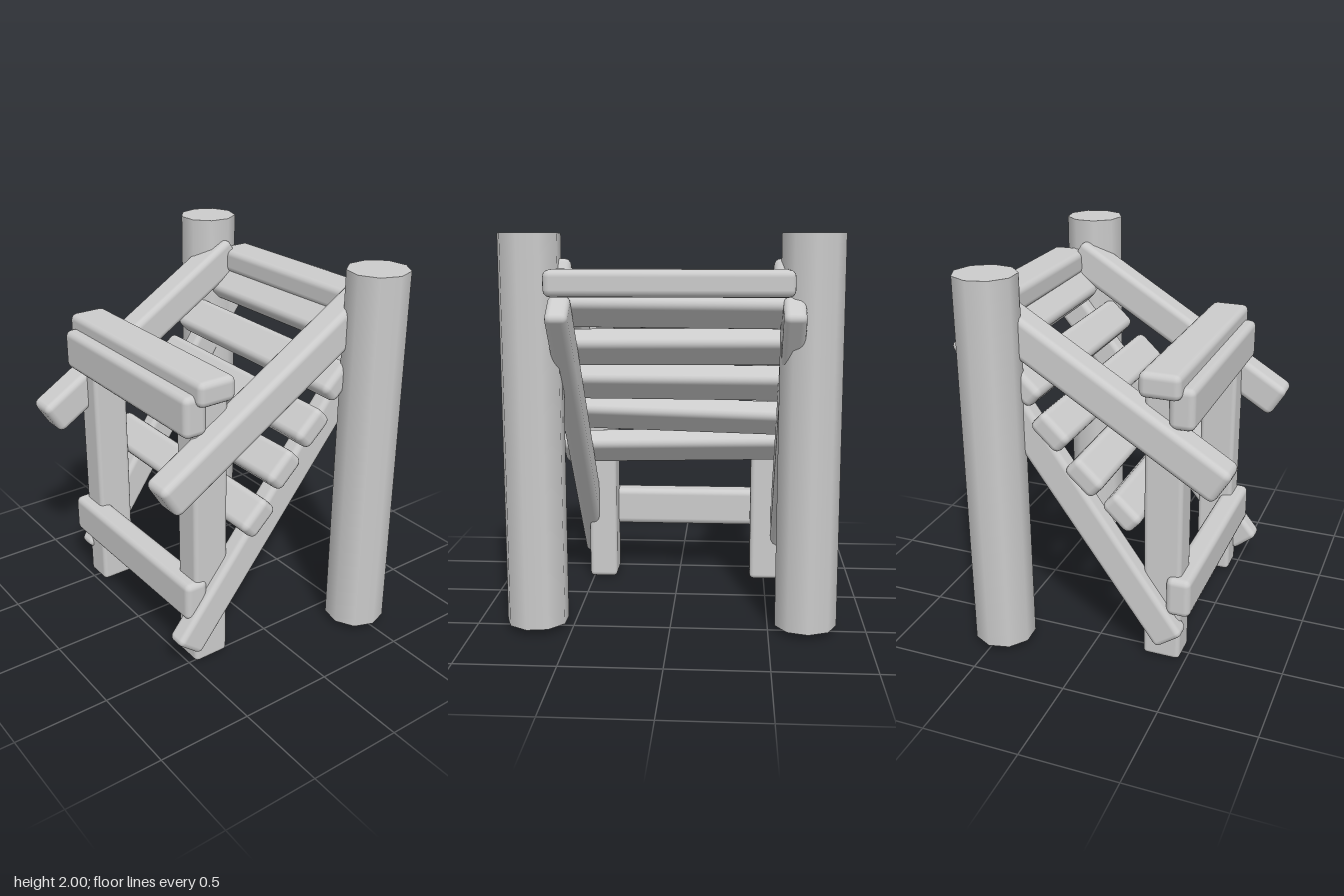
import * as THREE from 'three';
import { RoundedBoxGeometry } from 'three/addons/geometries/RoundedBoxGeometry.js';

export function createModel() {
  const model = new THREE.Group();
  const wood = new THREE.MeshStandardMaterial({ color: 0xcccccc });

  // Softly bevelled timber; w, h, d are its sizes along x, y, z
  function timber(name, [w, h, d], [x, y, z], [rx, ry, rz] = [0, 0, 0], bevel = 0.035) {
    const mesh = new THREE.Mesh(new RoundedBoxGeometry(w, h, d, 2, bevel), wood);
    mesh.name = name;
    mesh.position.set(x, y, z);
    mesh.rotation.set(rx, ry, rz);
    model.add(mesh);
    return mesh;
  }

  // Timber running between two points
  function beam(name, width, height, from, to, bevel) {
    const a = new THREE.Vector3(...from), b = new THREE.Vector3(...to);
    const mid = a.clone().add(b).multiplyScalar(0.5);
    timber(name, [width, height, a.distanceTo(b)], mid.toArray(), [0, 0, 0], bevel).lookAt(b);
  }

  // Tall round back posts
  for (const [name, x, z, turn] of [['leftPost', 0.685, -0.495, 0.15], ['rightPost', -0.69, -0.475, 0.4]]) {
    const post = new THREE.Mesh(new THREE.CylinderGeometry(0.157, 0.16, 1.97, 9), wood);
    post.name = name;
    post.position.set(x, 1.015, z);
    post.rotation.y = turn;
    model.add(post);
  }

  // Square front legs
  timber('leftFrontLeg', [0.16, 1.52, 0.2], [0.445, 0.76, 0.37], undefined, 0.025);
  timber('rightFrontLeg', [0.165, 1.52, 0.2], [-0.5, 0.76, 0.37], undefined, 0.025);

  // Front rails
  timber('topRail', [1.24, 0.13, 0.21], [-0.04, 1.535, 0.367]);
  timber('upperFrontBoard', [1.16, 0.215, 0.13], [-0.04, 1.42, 0.465]);
  timber('lowerFrontBoard', [1.16, 0.215, 0.13], [-0.04, 0.395, 0.465]);

  // Sloping side rails
  beam('leftSideRail', 0.16, 0.19, [0.56, 1.06, 0.685], [0.56, 1.81, -0.545]);
  beam('rightSideRail', 0.165, 0.19, [-0.583, 1.06, 0.685], [-0.583, 1.81, -0.545]);

  // Steep stringers under the treads
  beam('leftStringer', 0.11, 0.175, [0.52, 0.14, 0.54], [0.52, 1.66, -0.695], 0.03);
  beam('rightStringer', 0.11, 0.175, [-0.59, 0.14, 0.43], [-0.6, 1.66, -0.645], 0.03);

  // Tilted treads, each slightly crooked
  const treads = [
    [1.29, -0.005, -0.025, 0], [1.33, -0.015, 0.025, 0.01],
    [1.35, -0.015, 0.01, -0.01], [1.3, -0.015, -0.01, 0], [1.1, -0.03, 0, 0.01],
  ];
  treads.forEach(([length, x, roll, yaw], i) => {
    timber('tread' + (i + 1), [length, 0.12, 0.195],
      [x, 0.825 + 0.203 * i, 0.165 - 0.168 * i], [0.75, yaw, roll]);
  });

  // Flat bar across the top of the stringers
  timber('topBar', [1.19, 0.13, 0.21], [-0.005, 1.765, -0.593], [0, 0.017, 0]);

  return model;
}
